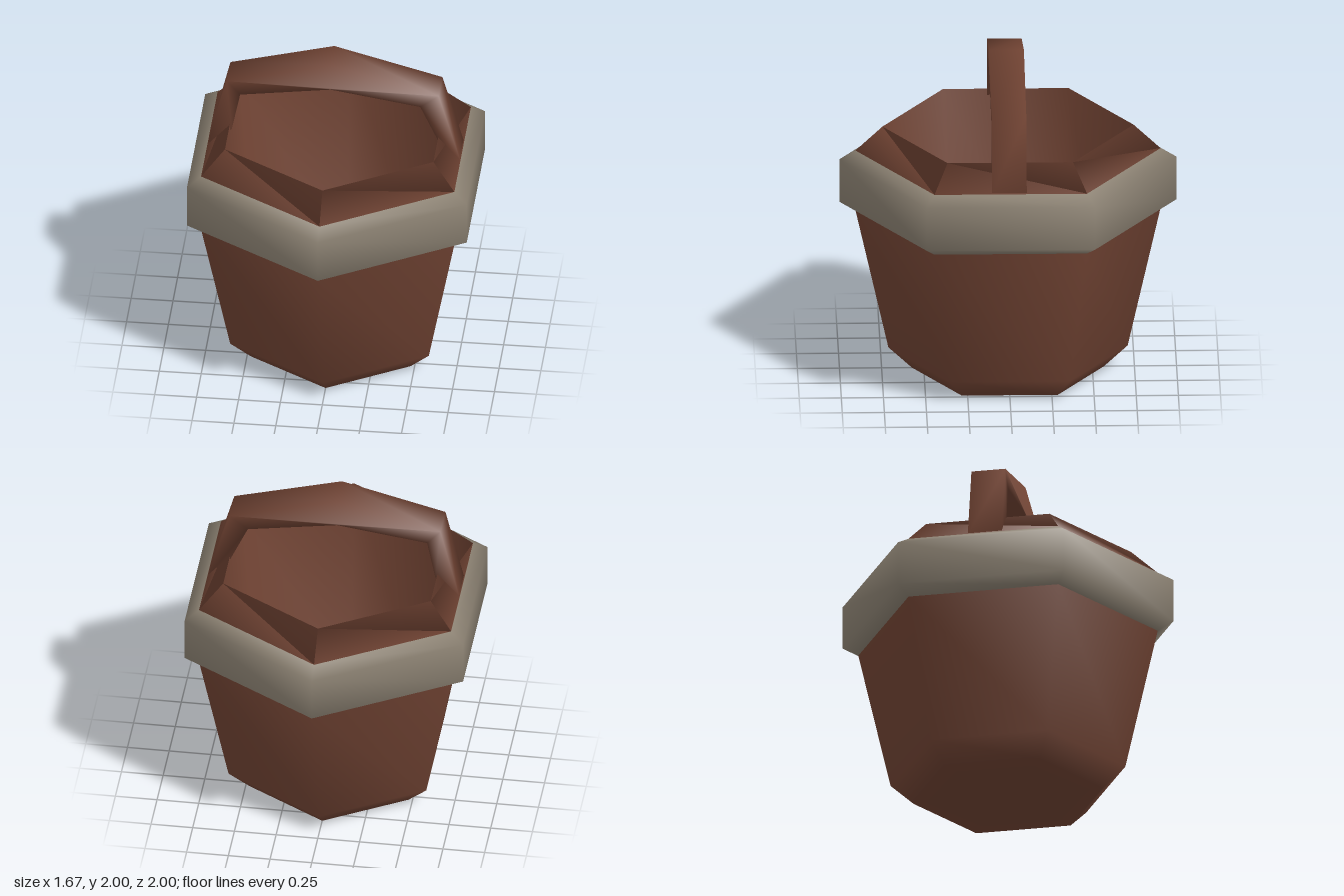
import * as THREE from 'three';
import { mergeVertices } from 'three/addons/utils/BufferGeometryUtils.js';

// Weld corners so the shading runs smoothly over the whole part
function smooth(geometry) {
  geometry.deleteAttribute('uv');
  geometry.deleteAttribute('normal');
  const welded = mergeVertices(geometry, 1e-4);
  welded.computeVertexNormals();
  return welded;
}

const vectors = (pairs) => pairs.map(([x, y]) => new THREE.Vector2(x, y));

// Six-sided turned shape with corners on the z axis, slightly narrowed in x
function hexLathe(profile) {
  const geometry = new THREE.LatheGeometry(vectors(profile), 6);
  geometry.scale(0.964, 1, 1);
  return smooth(geometry);
}

function part(name, geometry, material) {
  const mesh = new THREE.Mesh(geometry, material);
  mesh.name = name;
  return mesh;
}

export function createModel() {
  const wood = new THREE.MeshStandardMaterial({ color: 0x6f4232 });
  wood.name = 'brown wood';
  const metal = new THREE.MeshStandardMaterial({ color: 0x8a8071 });
  metal.name = 'grey band';

  const bucket = new THREE.Group();
  bucket.name = 'bucket';

  // Outer wall, sloping rim, hollow inside and inner floor
  bucket.add(part('body', hexLathe([
    [0, 0], [0.57, 0], [0.71, 0.13], [0.905, 1], [0.905, 1.38],
    [0.745, 1.53], [0.62, 0.15], [0, 0.1],
  ]), wood));

  // Chamfered hoop around the top
  bucket.add(part('band', hexLathe([
    [0.904, 1], [1, 1.055], [1, 1.325], [0.904, 1.38],
  ]), metal));

  // Slightly uneven bent handle standing on the rim
  const outline = new THREE.Shape(vectors([
    [-0.752, 1.38], [-0.61, 1.5], [-0.56, 1.75], [-0.02, 1.825], [0.515, 1.74],
    [0.62, 1.51], [0.752, 1.38], [0.625, 1.825], [-0.02, 2], [-0.64, 1.84],
  ]));
  const arch = new THREE.ExtrudeGeometry(outline, { depth: 0.205, bevelEnabled: false });
  arch.translate(0, 0, -0.095);
  bucket.add(part('handle', smooth(arch), wood));

  return bucket;
}
